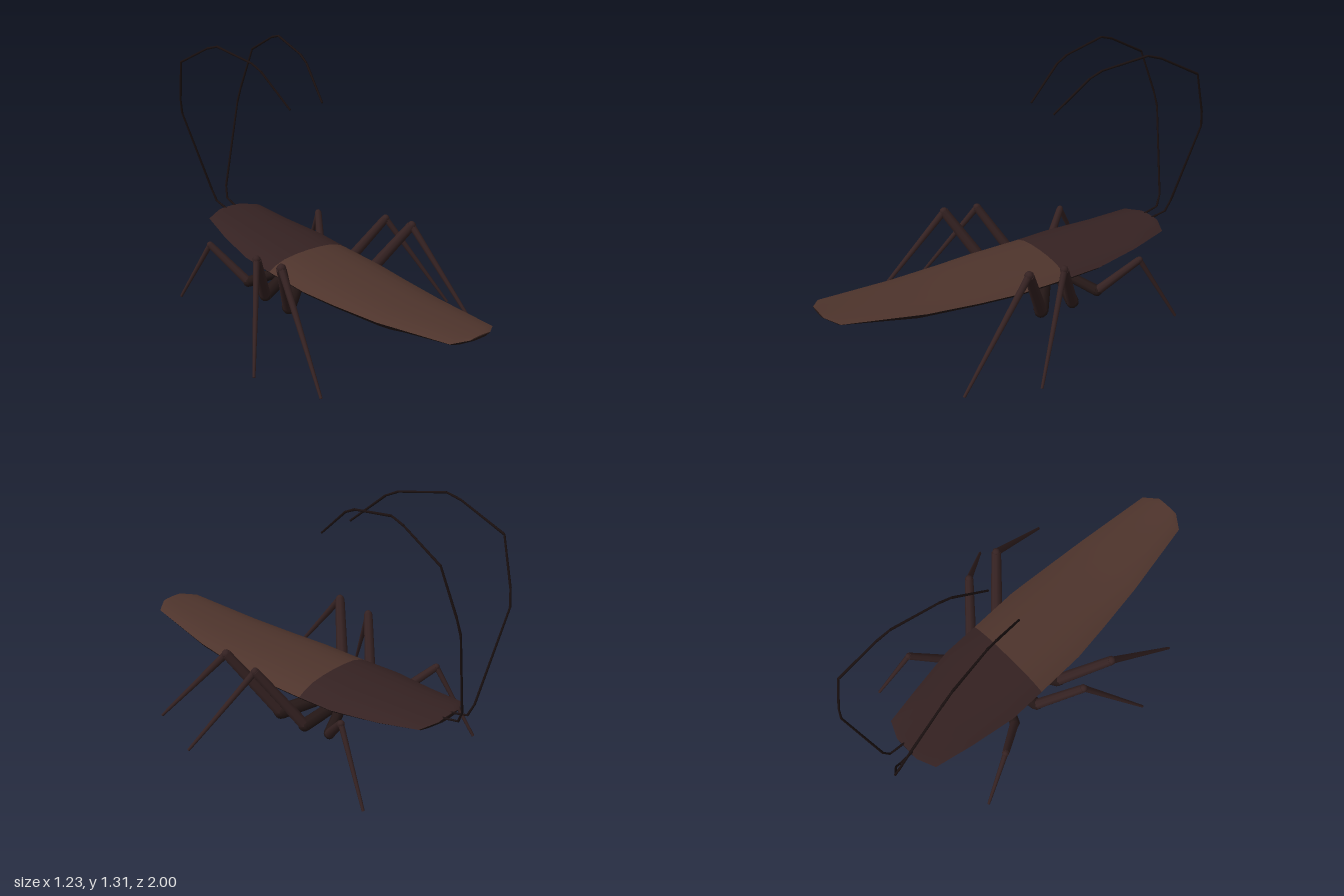
import * as THREE from 'three';
import { toCreasedNormals } from 'three/addons/utils/BufferGeometryUtils.js';

const mat = (name, color) => Object.assign(new THREE.MeshStandardMaterial({ color }), { name });

// Body stations: z, half width, top, rim and bottom heights
const STATIONS = [
  [-0.84, 0.07, 0.365, 0.36, 0.345],
  [-0.80, 0.16, 0.365, 0.345, 0.32],
  [-0.60, 0.20, 0.352, 0.315, 0.28],
  [-0.36, 0.24, 0.342, 0.295, 0.24],
  [-0.165, 0.24, 0.336, 0.285, 0.222],
  [0.10, 0.24, 0.328, 0.278, 0.215],
  [0.30, 0.22, 0.32, 0.278, 0.215],
  [0.56, 0.19, 0.315, 0.285, 0.218],
  [0.95, 0.13, 0.336, 0.32, 0.298],
  [1.00, 0.06, 0.34, 0.335, 0.325],
];
// Half sections from rim to rim: x factor, height factor
const TOP = [[1, 0], [0.85, 0.42], [0.6, 0.8], [0.3, 0.96], [0, 1], [-0.3, 0.96], [-0.6, 0.8], [-0.85, 0.42], [-1, 0]];
const BOTTOM = [[-1, 0], [-0.92, 0.3], [-0.55, 0.93], [0, 1], [0.55, 0.93], [0.92, 0.3], [1, 0]];

// Lofts a half section along the given stations, closing the body's ends
function loft(stations, section, extreme) {
  const rings = stations.map(([z, w, ...h]) =>
    section.map(([u, v]) => [u * w, h[1] + (h[extreme] - h[1]) * v, z]));
  const collapsed = (s) => section.map(() => [0, s[3], s[0]]);
  const last = stations[stations.length - 1];
  if (stations[0] === STATIONS[0]) rings.unshift(collapsed(stations[0]));
  if (last === STATIONS[STATIONS.length - 1]) rings.push(collapsed(last));
  const pos = [];
  for (let i = 0; i < rings.length - 1; i++) {
    for (let j = 0; j < section.length - 1; j++) {
      const a = rings[i][j], b = rings[i][j + 1], c = rings[i + 1][j + 1], d = rings[i + 1][j];
      pos.push(...a, ...b, ...c, ...a, ...c, ...d);
    }
  }
  const g = new THREE.BufferGeometry();
  g.setAttribute('position', new THREE.Float32BufferAttribute(pos, 3));
  return toCreasedNormals(g, 0.6);
}

// Tapered rod between two points
function rod(name, from, to, r0, r1, material, sides = 8) {
  const a = new THREE.Vector3(...from), b = new THREE.Vector3(...to);
  const dir = b.clone().sub(a);
  const m = new THREE.Mesh(new THREE.CylinderGeometry(r1, r0, dir.length(), sides), material);
  m.name = name;
  m.position.copy(a).add(b).multiplyScalar(0.5);
  m.quaternion.setFromUnitVectors(new THREE.Vector3(0, 1, 0), dir.normalize());
  return m;
}

// Small ball that closes a joint
function joint(name, at, r, material) {
  const m = new THREE.Mesh(new THREE.SphereGeometry(r, 8, 6), material);
  m.name = name;
  m.position.set(...at);
  return m;
}

export function createModel() {
  const model = new THREE.Group();
  model.name = 'insect';
  const brown = mat('wing brown', 0x4e342c);
  const maroon = mat('dark maroon', 0x352222);
  const dark = mat('underside dark', 0x241716);
  const black = mat('antenna black', 0x1a1010);
  const add = (name, geometry, material) => {
    const m = new THREE.Mesh(geometry, material);
    m.name = name;
    model.add(m);
  };

  // Flat body: dark shield at the back, brown wing cases ahead of it
  const shield = STATIONS.slice(0, 5), wings = STATIONS.slice(4);
  add('shield', loft(shield, TOP, 0), maroon);
  add('wingCases', loft(wings, TOP, 0), brown);
  add('shieldUnderside', loft(shield, BOTTOM, 2), dark);
  add('abdomenUnderside', loft(wings, BOTTOM, 2), dark);

  // Legs: hip, lower joint, knee, foot, thickness
  const legs = [
    ['longLeg', [0.08, 0.2, -0.14], [0.225, 0.145, -0.03], [0.4, 0.462, 0.15], [0.487, 0.005, 0.54], 1],
    ['middleLeg', [0.08, 0.2, -0.24], [0.24, 0.15, -0.2], [0.4, 0.44, -0.04], [0.608, 0.005, 0.21], 0.9],
    ['shortLeg', [0.08, 0.2, -0.28], [0.235, 0.165, -0.35], [0.345, 0.34, -0.515], [0.41, 0.005, -0.707], 0.75],
  ];
  // Antenna path, curling up and over the body
  const feeler = [
    [0.03, 0.36, -0.83], [0.034, 0.38, -0.915], [0.046, 0.44, -0.94], [0.175, 0.88, -0.995],
    [0.19, 0.96, -0.98], [0.22, 1.175, -0.91], [0.195, 1.28, -0.7], [0.185, 1.3, -0.63],
    [0.145, 1.255, -0.4], [0.135, 1.225, -0.34], [0.096, 1.07, -0.17],
  ];

  for (const [side, s] of [['left', 1], ['right', -1]]) {
    const flip = ([x, y, z]) => [x * s, y, z];
    for (const [name, ...rest] of legs) {
      const [hip, low, knee, foot] = rest.slice(0, 4).map(flip);
      const t = rest[4];
      const leg = new THREE.Group();
      leg.name = `${side} ${name}`;
      leg.add(
        rod('hip', hip, low, 0.034 * t, 0.036 * t, dark),
        joint('lowerJoint', low, 0.035 * t, dark),
        rod('thigh', low, knee, 0.031 * t, 0.024 * t, maroon),
        joint('knee', knee, 0.022 * t, maroon),
        rod('shin', knee, foot, 0.018 * t, 0.007, maroon),
      );
      model.add(leg);
    }
    const antenna = new THREE.Group();
    antenna.name = `${side} antenna`;
    const path = feeler.map(flip);
    for (let i = 0; i < path.length - 1; i++) {
      antenna.add(rod('segment', path[i], path[i + 1], 0.006, 0.005, black, 6));
    }
    model.add(antenna);
  }
  return model;
}
